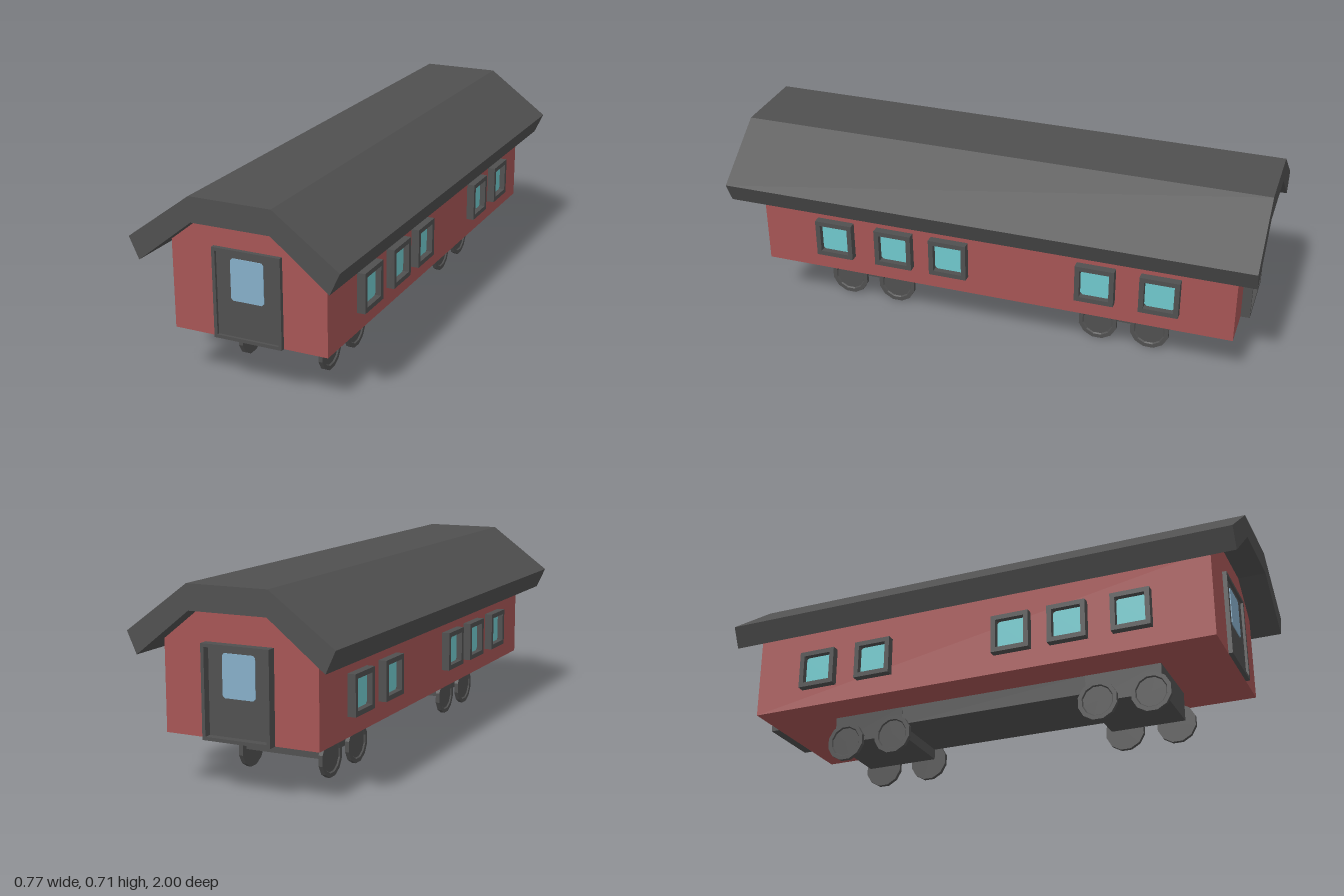
import * as THREE from 'three';

const mat = (name, color) => {
  const m = new THREE.MeshStandardMaterial({ color });
  m.name = name;
  return m;
};

export function createModel() {
  const charcoal = mat('charcoal', 0x505050);
  const red = mat('barn red', 0xa65555);
  const blue = mat('door glass blue', 0x86aec8);
  const teal = mat('window glass teal', 0x70c8cc);

  const model = new THREE.Group();
  model.name = 'railCar';

  const add = (parent, name, geo, material, x = 0, y = 0, z = 0) => {
    const mesh = new THREE.Mesh(geo, material);
    mesh.name = name;
    mesh.position.set(x, y, z);
    parent.add(mesh);
    return mesh;
  };
  const box = (w, h, d) => new THREE.BoxGeometry(w, h, d);
  const polygon = (pts) => new THREE.Shape(pts.map(([x, y]) => new THREE.Vector2(x, y)));
  const extrude = (shape, depth) =>
    new THREE.ExtrudeGeometry(shape, { depth, bevelEnabled: false });

  // Rectangle with small chamfered corners, centred on the origin
  const pane = (w, h, c) => polygon([
    [-w / 2 + c, -h / 2], [w / 2 - c, -h / 2], [w / 2, -h / 2 + c], [w / 2, h / 2 - c],
    [w / 2 - c, h / 2], [-w / 2 + c, h / 2], [-w / 2, h / 2 - c], [-w / 2, -h / 2 + c],
  ]);

  // Rectangular surround with an opening, its back on z = 0
  const surround = (w, h, border, depth) => {
    const rect = (a, b) => [[-a, -b], [a, -b], [a, b], [-a, b]];
    const shape = polygon(rect(w / 2, h / 2));
    shape.holes.push(polygon(rect(w / 2 - border, h / 2 - border)));
    return extrude(shape, depth);
  };

  // Body with a flat-topped gable at each end
  const body = polygon([
    [-0.29, 0.185], [0.29, 0.185], [0.29, 0.513], [0.145, 0.625], [-0.145, 0.625], [-0.29, 0.513],
  ]);
  add(model, 'body', extrude(body, 1.822), red, 0, 0, -0.927);

  // Thick three-plane roof
  const roof = polygon([
    [0.15, 0.71], [-0.15, 0.71], [-0.387, 0.537], [-0.351, 0.459],
    [-0.145, 0.621], [0.145, 0.621], [0.351, 0.459], [0.387, 0.537],
  ]);
  add(model, 'roof', extrude(roof, 2), charcoal, 0, 0, -1);

  // End doors
  const addDoor = (name, z, depth, turn) => {
    const door = new THREE.Group();
    door.name = name;
    door.position.set(0, 0.3475, z);
    door.rotation.y = turn;
    add(door, 'doorFrame', surround(0.256, 0.325, 0.012, depth), charcoal);
    add(door, 'doorPanel', box(0.234, 0.303, 0.006), charcoal, 0, 0, 0.003);
    add(door, 'doorWindow', extrude(pane(0.124, 0.15, 0.008), 0.004), blue, 0, 0.056, 0.005);
    model.add(door);
  };
  addDoor('frontDoor', 0.895, 0.016, 0);
  addDoor('backDoor', -0.927, 0.034, Math.PI);

  // Side windows, alike on both sides
  for (const side of [-1, 1]) {
    for (const z of [0.602, 0.363, 0.145, -0.418, -0.656]) {
      const win = new THREE.Group();
      win.name = 'sideWindow';
      win.position.set(side * 0.29, 0.33, z);
      win.rotation.y = side * Math.PI / 2;
      add(win, 'windowFrame', surround(0.146, 0.146, 0.018, 0.03), charcoal);
      add(win, 'windowBacking', box(0.114, 0.114, 0.005), charcoal, 0, 0, 0.0025);
      add(win, 'windowGlass', extrude(pane(0.11, 0.11, 0.008), 0.004), teal, 0, 0, 0.004);
      model.add(win);
    }
  }

  // Underframe beam and two wheel trucks
  add(model, 'underframe', box(0.288, 0.072, 0.76), charcoal, 0, 0.151, 0);
  for (const z of [0.513, -0.513]) {
    add(model, 'truck', box(0.29, 0.112, 0.286), charcoal, 0, 0.131, z);
  }

  // Twelve-sided wheels with a raised rim, revolved about x
  const profile = [[0, -0.008], [0.0755, -0.008], [0.0755, 0.008], [0.06, 0.008], [0.056, 0.003], [0, 0.003]]
    .map(([r, y]) => new THREE.Vector2(r, y));
  const lathe = new THREE.LatheGeometry(profile, 12, Math.PI / 12);
  const wheelGeo = lathe.toNonIndexed();
  wheelGeo.computeVertexNormals();
  for (const side of [-1, 1]) {
    for (const z of [0.62, 0.42, -0.4, -0.6]) {
      const wheel = add(model, 'wheel', wheelGeo, charcoal, side * 0.158, 0.073, z);
      wheel.rotation.z = -side * Math.PI / 2;
    }
  }
  // Axles
  for (const z of [0.62, 0.42, -0.4, -0.6]) {
    const axle = add(model, 'axle', new THREE.CylinderGeometry(0.012, 0.012, 0.31, 8), charcoal, 0, 0.09, z);
    axle.rotation.z = Math.PI / 2;
  }

  return model;
}
